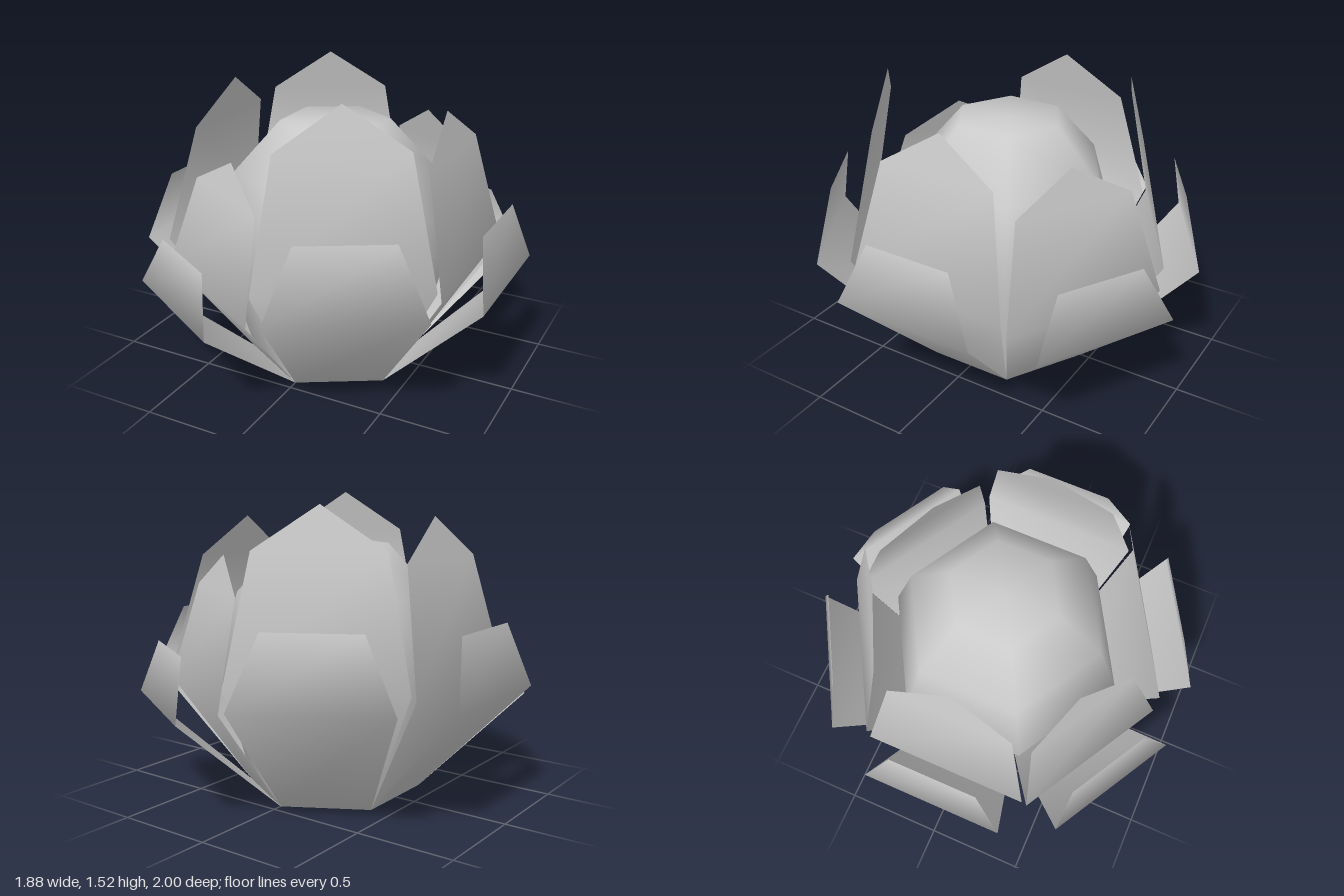
import * as THREE from 'three';

const material = new THREE.MeshStandardMaterial({ color: 0xcccccc, side: THREE.DoubleSide });

// Petal cross-sections from base to top: [distance from axis, half width, fraction of height]
const INNER = [[0.39, 0.225, 0], [0.758, 0.423, 0.448], [0.63, 0.309, 0.862], [0.587, 0, 1]];
const OUTER = [[0.39, 0.225, 0], [0.94, 0.37, 0.643], [0.868, 0.227, 1]];

// Thin folded petal facing +z; a half width of 0 closes it in a point
function petalGeometry(rows, height) {
  const positions = [];
  const index = [];
  rows.forEach(([depth, half, t], i) => {
    positions.push(-half, t * height, depth);
    if (half > 0) positions.push(half, t * height, depth);
    if (i === 0) return;
    const a = (i - 1) * 2;
    if (half > 0) index.push(a, a + 1, a + 3, a, a + 3, a + 2);
    else index.push(a, a + 1, a + 2);
  });
  const geometry = new THREE.BufferGeometry();
  geometry.setAttribute('position', new THREE.Float32BufferAttribute(positions, 3));
  geometry.setIndex(index);
  geometry.computeVertexNormals();
  return geometry;
}

export function createModel() {
  const group = new THREE.Group();
  const add = (name, geometry) => {
    const mesh = new THREE.Mesh(geometry, material);
    mesh.name = name;
    group.add(mesh);
    return mesh;
  };

  // Smooth six-sided bud in the middle
  const profile = [[0.445, 0], [0.63, 0.63], [0.51, 1.02], [0.277, 1.28], [0, 1.28]];
  add('bud', new THREE.LatheGeometry(profile.map(([r, y]) => new THREE.Vector2(r, y)), 6));

  // Flat hexagonal underside, corners on the z axis
  const base = new THREE.CircleGeometry(0.45, 6, Math.PI / 2);
  base.rotateX(Math.PI / 2);
  add('base', base);

  // Six petal pairs of uneven height, starting at the front left and going round by the left side
  const heights = [1.52, 1.4, 1.24, 1.495, 1.43, 1.16];
  heights.forEach((height, i) => {
    const angle = Math.PI / 6 + (i * Math.PI) / 3;
    add('innerPetal' + (i + 1), petalGeometry(INNER, height)).rotation.y = angle;
    add('outerPetal' + (i + 1), petalGeometry(OUTER, height * 0.644)).rotation.y = angle;
  });

  return group;
}
